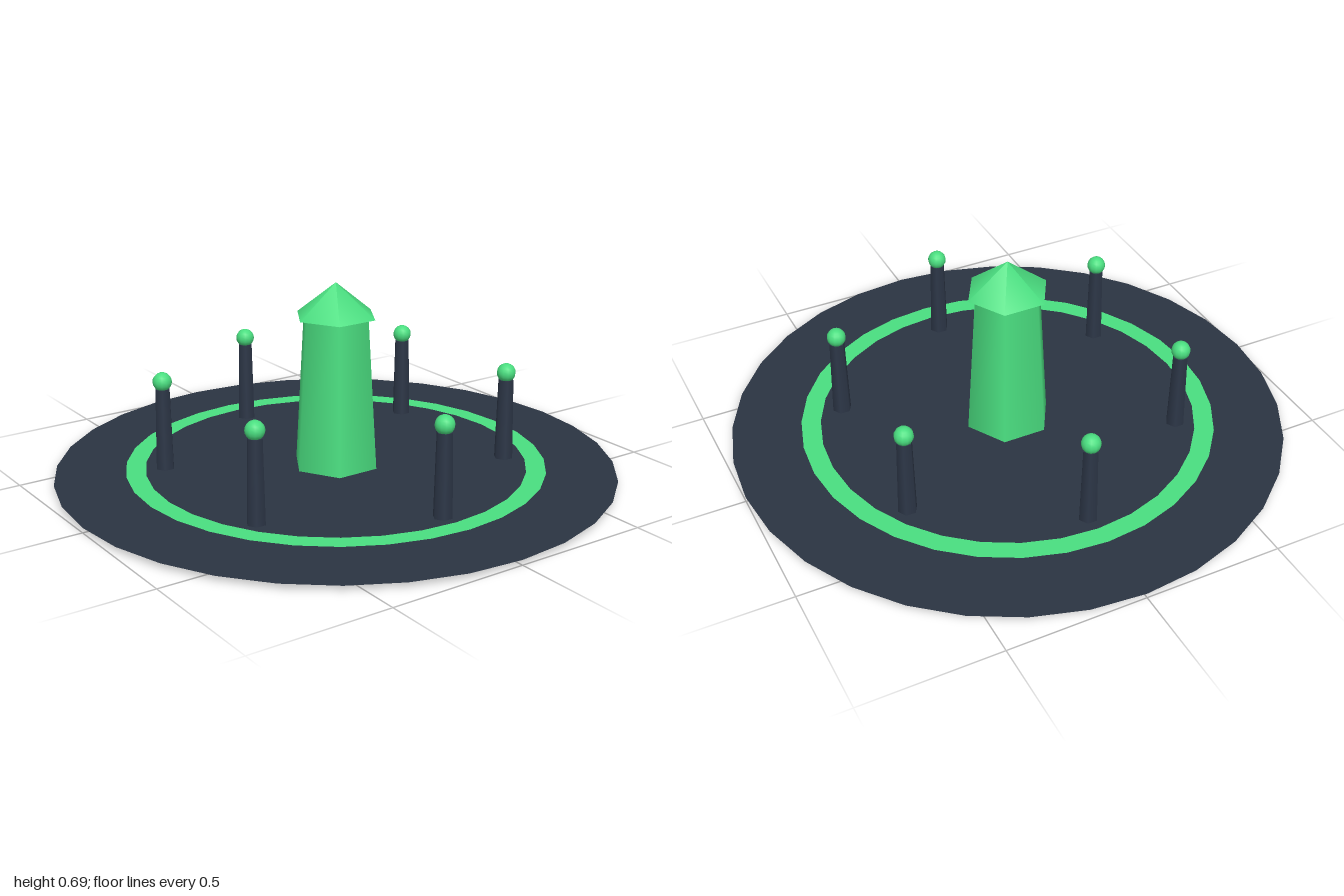
import * as THREE from 'three';

const green = new THREE.MeshStandardMaterial({ color: 0x4ade80 });
const greenFlat = new THREE.MeshStandardMaterial({ color: 0x4ade80, side: THREE.DoubleSide });
const dark = new THREE.MeshStandardMaterial({ color: 0x2d3748 });
const darkFlat = new THREE.MeshStandardMaterial({ color: 0x2b3442, side: THREE.DoubleSide });

export function createModel() {
  const model = new THREE.Group();
  model.name = 'towerPlaza';

  function add(name, geometry, material, x, y, z, parent = model) {
    const mesh = new THREE.Mesh(geometry, material);
    mesh.name = name;
    mesh.position.set(x, y, z);
    parent.add(mesh);
    return mesh;
  }

  // Thin ground layers, each just above the one before
  const flat = (geometry) => geometry.rotateX(-Math.PI / 2);
  add('outerGroundRing', flat(new THREE.RingGeometry(0.73, 1, 32)), darkFlat, 0, 0.018, 0);
  add('innerGroundDisc', flat(new THREE.CircleGeometry(0.8, 32)), darkFlat, 0, 0.024, 0);
  add('glowRing', flat(new THREE.RingGeometry(0.68, 0.75, 32)), greenFlat, 0, 0.03, 0);

  // Six-sided tapered tower with a pointed roof
  add('tower', new THREE.CylinderGeometry(0.125, 0.16, 0.57, 6), green, 0, 0.285, 0);
  add('towerRoof', new THREE.ConeGeometry(0.15, 0.12, 6), green, 0, 0.63, 0);

  // Six posts in a circle, each topped by a ball
  const postGeometry = new THREE.CylinderGeometry(0.028, 0.035, 0.32, 6);
  const ballGeometry = new THREE.SphereGeometry(0.034, 12, 10);
  for (let i = 0; i < 6; i++) {
    const angle = (i * Math.PI) / 3;
    const post = new THREE.Group();
    post.name = 'lampPost';
    post.position.set(0.61 * Math.cos(angle), 0, 0.61 * Math.sin(angle));
    add('post', postGeometry, dark, 0, 0.16, 0, post);
    add('postBall', ballGeometry, green, 0, 0.345, 0, post);
    model.add(post);
  }
  return model;
}
